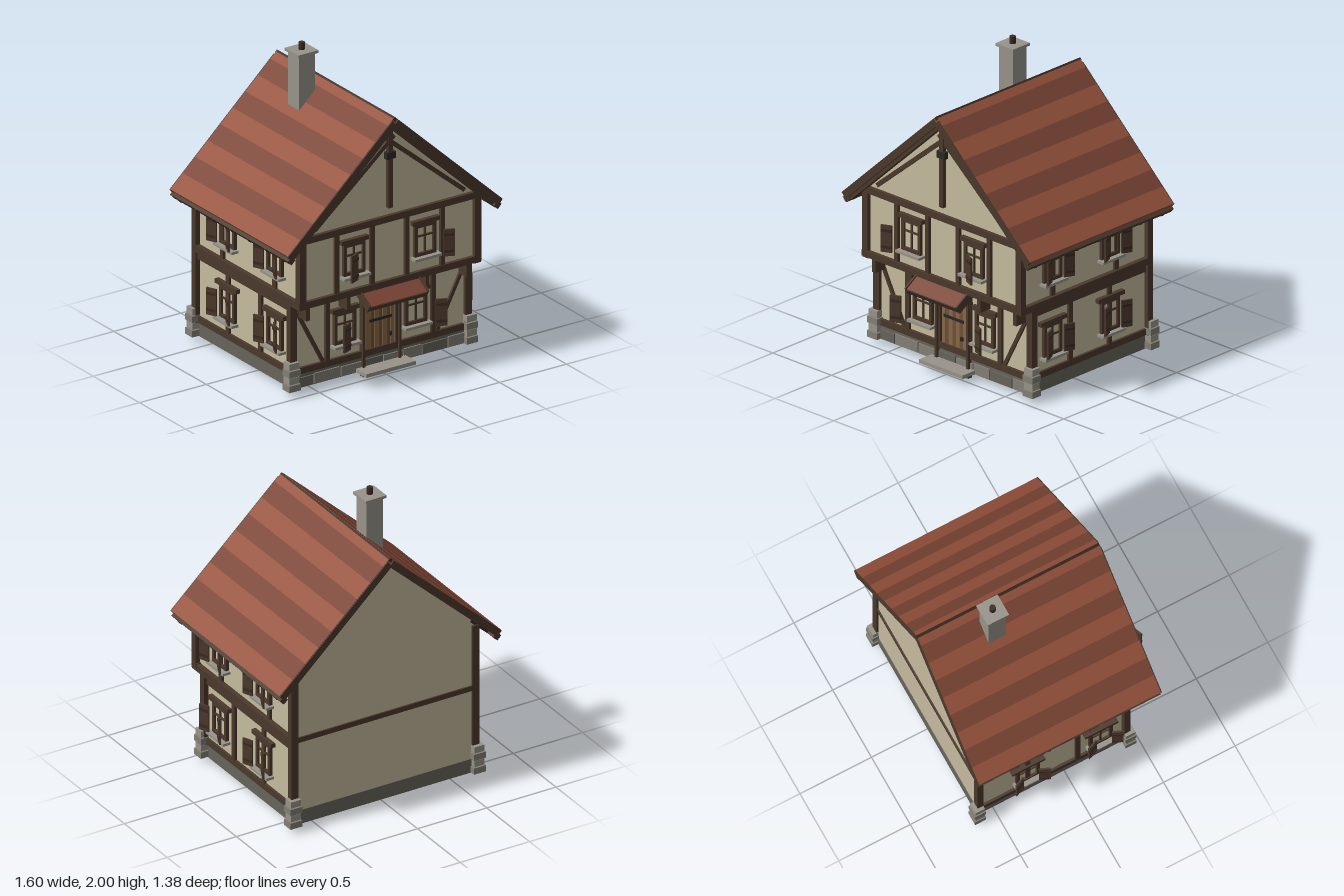
import * as THREE from 'three';

const mat = (color) => new THREE.MeshStandardMaterial({ color });
const M = {
  plaster: mat(0xc6bb9f), glass: mat(0xcbc2a4), timber: mat(0x4b392c), dark: mat(0x3a2a20),
  tileA: mat(0x96523c), tileB: mat(0x7a4434), stone: mat(0x98948a), stoneB: mat(0x837f74),
  base: mat(0x66645b), plankA: mat(0x8a6848), plankB: mat(0x6f5238), iron: mat(0x2a2826),
};

// Box given by its limits on each axis
function block(parent, name, m, x0, x1, y0, y1, z0, z1) {
  const mesh = new THREE.Mesh(new THREE.BoxGeometry(x1 - x0, y1 - y0, z1 - z0), m);
  mesh.position.set((x0 + x1) / 2, (y0 + y1) / 2, (z0 + z1) / 2);
  mesh.name = name;
  parent.add(mesh);
  return mesh;
}

// Sloping bar in the x-y plane from a to b
function bar(parent, name, m, a, b, thick, z0, z1) {
  const dx = b[0] - a[0], dy = b[1] - a[1];
  const mesh = new THREE.Mesh(new THREE.BoxGeometry(Math.hypot(dx, dy), thick, z1 - z0), m);
  mesh.position.set((a[0] + b[0]) / 2, (a[1] + b[1]) / 2, (z0 + z1) / 2);
  mesh.rotation.z = Math.atan2(dy, dx);
  mesh.name = name;
  parent.add(mesh);
  return mesh;
}

// Window facing +z, with shutters standing off the wall on the given sides
function makeWindow(name, sides, standOff, lintelHalf) {
  const g = new THREE.Group();
  g.name = name;
  block(g, 'pane', M.glass, -0.07, 0.07, -0.095, 0.095, 0, 0.006);
  for (const s of [-1, 1]) {
    block(g, 'frameSide', M.timber, s * 0.07 - 0.011, s * 0.07 + 0.011, -0.105, 0.105, 0, 0.022);
    block(g, 'frameRail', M.timber, -0.08, 0.08, s * 0.095 - 0.011, s * 0.095 + 0.011, 0, 0.022);
  }
  block(g, 'mullion', M.timber, -0.006, 0.006, -0.09, 0.09, 0, 0.016);
  block(g, 'glazingBar', M.timber, -0.07, 0.07, 0.02, 0.032, 0, 0.016);
  block(g, 'lintel', M.timber, -lintelHalf, lintelHalf, 0.108, 0.136, 0, 0.03);
  block(g, 'sill', M.stone, -0.1, 0.1, -0.123, -0.106, 0, 0.055);
  for (const s of sides) {
    const shutter = new THREE.Group();
    shutter.name = 'shutter';
    block(shutter, 'shutterPanel', M.timber, -0.036, 0.036, -0.09, 0.09, -0.006, 0.006);
    for (const y of [-0.055, 0.055])
      block(shutter, 'shutterBatten', M.dark, -0.034, 0.034, y - 0.009, y + 0.009, 0.004, 0.01);
    shutter.position.set(s * 0.088, 0, standOff);
    shutter.rotation.y = -s * 0.4;
    g.add(shutter);
  }
  return g;
}

export function createModel() {
  const house = new THREE.Group();
  house.name = 'timberFramedHouse';
  const add = (...a) => block(house, ...a);

  // Stone base, front facing stones and corner stones
  add('foundation', M.base, -0.65, 0.65, 0.03, 0.125, -0.615, 0.43);
  const joints = [-0.63, -0.5, -0.3, -0.14, 0.02, 0.17, 0.31, 0.5, 0.63];
  for (let i = 0; i < 8; i++)
    add('baseStone', i % 3 ? M.stoneB : M.base, joints[i] + 0.004, joints[i + 1] - 0.004, 0.037, i % 2 ? 0.105 : 0.1, 0.42, 0.44);
  for (const s of [-1, 1]) for (const [z, d] of [[0.43, 1], [-0.615, -1]])
    for (let i = 0; i < 4; i++) {
      const o = i % 2 ? 0.006 : 0.0, y = 0.035 + i * 0.048;
      const xa = s * (0.62 + o), xb = s * (0.705 - o), za = z - d * (0.035 - o), zb = z + d * (0.042 - o);
      add('cornerStone', i % 2 ? M.stone : M.stoneB, Math.min(xa, xb), Math.max(xa, xb), y, y + 0.043, Math.min(za, zb), Math.max(za, zb));
    }

  // Plastered walls: ground floor, then the jettied floor with its gables
  add('groundFloorWall', M.plaster, -0.645, 0.645, 0.12, 0.61, -0.61, 0.42);
  const wall = new THREE.Shape([[-0.645, 0.6], [0.645, 0.6], [0.645, 1.1], [0, 1.7], [-0.645, 1.1]].map(p => new THREE.Vector2(...p)));
  const upper = new THREE.Mesh(new THREE.ExtrudeGeometry(wall, { depth: 1.13, bevelEnabled: false }), M.plaster);
  upper.position.z = -0.61;
  upper.name = 'upperFloorWall';
  house.add(upper);

  // Horizontal beams
  add('frontSillBeam', M.timber, -0.65, 0.65, 0.125, 0.167, 0.4, 0.44);
  add('frontHeadBeam', M.timber, -0.65, 0.65, 0.55, 0.59, 0.4, 0.44);
  add('jettyBeam', M.timber, -0.68, 0.68, 0.607, 0.65, 0.49, 0.545);
  add('gableBeam', M.timber, -0.66, 0.66, 1.037, 1.08, 0.5, 0.545);
  add('rearBeam', M.timber, -0.66, 0.66, 0.605, 0.64, -0.62, -0.59);
  for (const s of [-1, 1]) {
    const side = (name, y0, y1, z0, z1, out = 0.662) =>
      add(name, M.timber, s > 0 ? 0.63 : -out, s > 0 ? out : -0.63, y0, y1, z0, z1);
    side('sideSillBeam', 0.125, 0.167, -0.61, 0.43);
    side('sideHeadBeam', 0.55, 0.59, -0.61, 0.43);
    side('sideJettyBeam', 0.6, 0.645, -0.622, 0.54, 0.678);
    side('wallPlate', 1.0, 1.05, -0.61, 0.53);
    // Posts
    side('groundCornerPost', 0.125, 0.6, 0.4, 0.445, 0.678);
    side('upperCornerPost', 0.64, 1.06, 0.5, 0.545, 0.678);
    side('rearCornerPost', 0.125, 1.06, -0.625, -0.583, 0.678);
    for (const z of [0.085, -0.263]) side('groundSidePost', 0.16, 0.555, z - 0.017, z + 0.017);
    for (const z of [0.24, -0.325]) side('upperSidePost', 0.64, 1.01, z - 0.017, z + 0.017);
    for (const x of [0.395, 0.13]) {
      add('upperFrontPost', M.timber, s * x - 0.016, s * x + 0.016, 0.65, 1.04, 0.51, 0.54);
      add('groundFrontPost', M.timber, s * x - 0.016, s * x + 0.016, 0.165, 0.555, 0.41, 0.44);
    }
    // Braces and jetty brackets
    bar(house, 'groundBrace', M.timber, [s * 0.62, 0.54], [s * 0.425, 0.165], 0.024, 0.41, 0.435);
    bar(house, 'gableBrace', M.timber, [s * 0.56, 1.11], [s * -0.035, 1.605], 0.028, 0.51, 0.538);
    for (const x of [0.6, 0.295])
      add('jettyBracket', M.timber, s * x - 0.014, s * x + 0.014, 0.51, 0.607, 0.43, 0.52);

    // Windows on the front and on this side
    for (const [y, zFront, off] of [[0.36, 0.42, 0.165], [0.855, 0.52, 0.145]]) {
      const front = makeWindow('frontWindow', [s], off, 0.1);
      front.position.set(s * 0.265, y, zFront);
      house.add(front);
      for (const z of [0.245, -0.265]) {
        const w = makeWindow('sideWindow', [-1, 1], 0.073, 0.115);
        w.position.set(s * 0.645, y, z);
        w.rotation.y = s * Math.PI / 2;
        house.add(w);
      }
    }
  }
  add('kingPost', M.timber, -0.016, 0.016, 1.13, 1.69, 0.515, 0.548);
  add('gableIron', M.iron, -0.034, 0.034, 1.46, 1.505, 0.52, 0.555);

  // Roof: bands of tiles along each slope, edge boards and rafter tails
  const roof = new THREE.Group();
  roof.name = 'roof';
  house.add(roof);
  const slope = 0.925, top = (x, d = 0) => 1.735 - d - slope * x;
  for (const s of [-1, 1]) {
    const xs = [0.79];
    while (xs[xs.length - 1] > 0) xs.push(Math.max(0, xs[xs.length - 1] - 0.0935));
    for (let i = 0; i + 1 < xs.length; i++)
      bar(roof, 'tileBand', i % 2 ? M.tileB : M.tileA, [s * xs[i], top(xs[i])], [s * xs[i + 1], top(xs[i + 1])], 0.03, -0.68, 0.59);
    for (const [z0, z1] of [[0.578, 0.597], [-0.688, -0.67]])
      bar(roof, 'bargeBoard', M.timber, [s * 0.785, top(0.785, 0.015)], [s * 0.006, top(0.006, 0.015)], 0.048, z0, z1);
    bar(roof, 'vergeRafter', M.timber, [s * 0.77, top(0.77, 0.058)], [s * 0.005, top(0.005, 0.058)], 0.026, 0.53, 0.575);
    bar(roof, 'eaveBoard', M.timber, [s * 0.785, top(0.785, 0.045)], [s * 0.755, top(0.755, 0.045)], 0.04, -0.685, 0.59);
    for (let i = 0; i < 7; i++) {
      const z = -0.605 + i * 0.187;
      bar(roof, 'rafterTail', M.dark, [s * 0.785, top(0.785, 0.05)], [s * 0.63, top(0.63, 0.05)], 0.034, z - 0.008, z + 0.008);
    }
  }
  const ridge = bar(roof, 'ridgeBoard', M.dark, [-0.011, 1.74], [0.011, 1.74], 0.02, -0.685, 0.592);
  ridge.rotation.z = Math.PI / 4;

  // Chimney
  add('chimneyStack', M.stone, -0.193, -0.073, 1.4, 1.938, -0.285, -0.165);
  add('chimneyCap', M.stone, -0.208, -0.058, 1.935, 1.953, -0.3, -0.15);
  const pot = new THREE.Mesh(new THREE.CylinderGeometry(0.02, 0.02, 0.06, 12), M.dark);
  pot.position.set(-0.133, 1.97, -0.225);
  pot.name = 'chimneyPot';
  house.add(pot);

  // Plank door with iron strap and handle
  for (let i = 0; i < 7; i++)
    add('doorPlank', i % 2 ? M.plankB : M.plankA, -0.105 + i * 0.03 + 0.001, -0.075 + i * 0.03 - 0.001, 0.165, 0.475, 0.41, 0.432);
  add('doorLintel', M.timber, -0.15, 0.15, 0.47, 0.505, 0.41, 0.45);
  add('doorStrap', M.iron, -0.085, 0.085, 0.343, 0.361, 0.43, 0.438);
  add('doorHandle', M.iron, 0.062, 0.08, 0.225, 0.25, 0.43, 0.446);
  add('doorStep', M.stone, -0.185, 0.185, 0.037, 0.062, 0.4, 0.55);

  // Porch posts and canopy
  const canopy = new THREE.Group();
  canopy.name = 'porchCanopy';
  block(canopy, 'canopyTiles', M.tileB, -0.215, 0.215, -0.012, 0.012, -0.08, 0.062);
  block(canopy, 'canopyEdge', M.timber, -0.215, 0.215, -0.03, 0.008, 0.055, 0.066);
  for (const s of [-1, 1]) {
    block(canopy, 'canopySide', M.timber, s * 0.217 - 0.006, s * 0.217 + 0.006, -0.035, 0.022, -0.08, 0.066);
    add('porchPost', M.timber, s * 0.135 - 0.009, s * 0.135 + 0.009, 0, 0.52, 0.425, 0.457);
    add('porchBracket', M.timber, s * 0.135 - 0.012, s * 0.135 + 0.012, 0.5, 0.57, 0.43, 0.52);
  }
  canopy.position.set(0, 0.572, 0.575);
  canopy.rotation.x = 0.56;
  house.add(canopy);

  return house;
}
